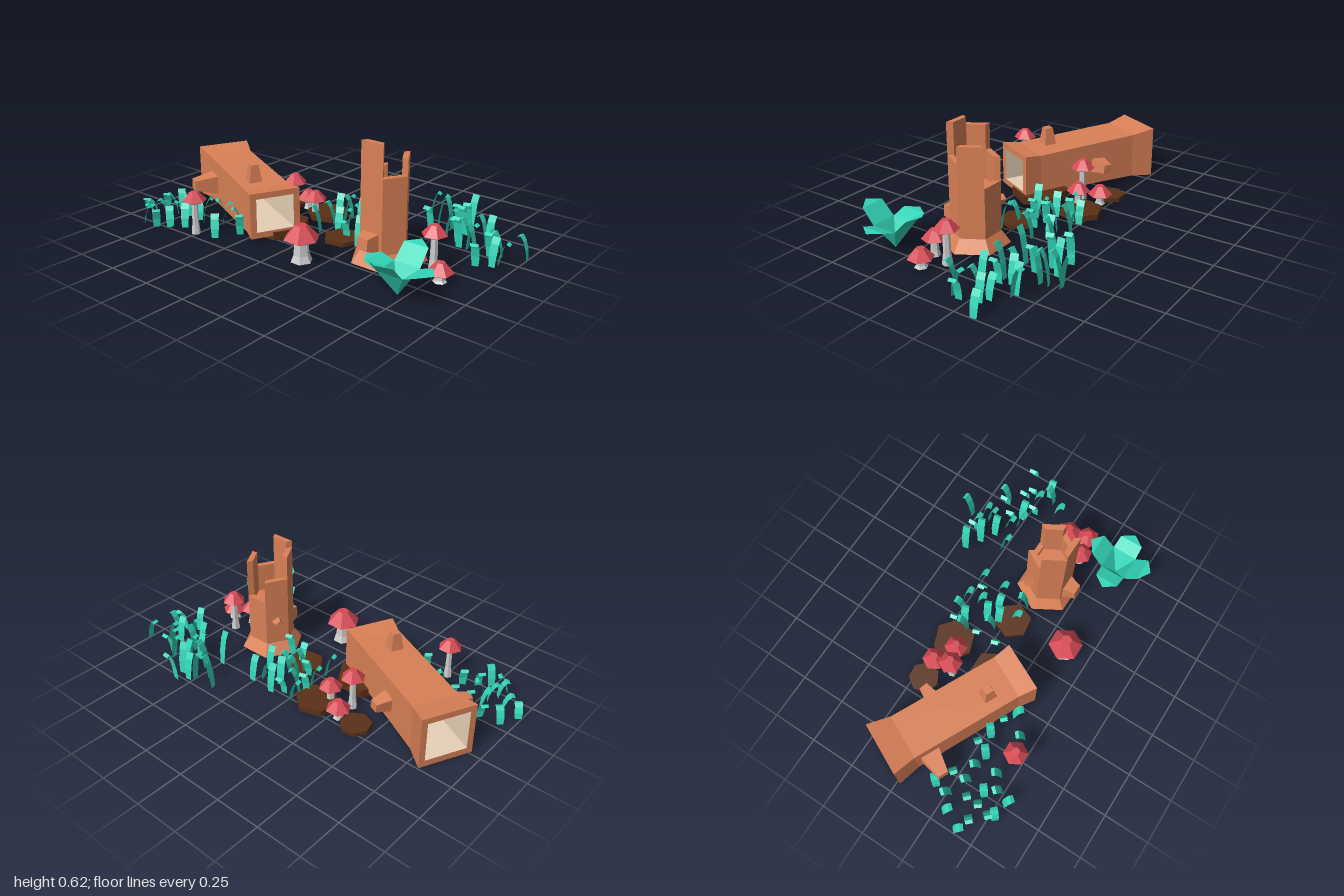
import * as THREE from 'three';

const mat = (color, side = THREE.FrontSide) =>
  new THREE.MeshStandardMaterial({ color, flatShading: true, side });
const WOOD = mat(0xd98056), INNER = mat(0xe6d0b6), DARK = mat(0x5a3018), RED = mat(0xd64a55);
const GREY = mat(0xcccccc), TEAL = mat(0x33d6b8, THREE.DoubleSide);
const V = (x, y, z) => new THREE.Vector3(x, y, z);

function add(parent, name, geometry, material, x = 0, y = 0, z = 0) {
  const m = new THREE.Mesh(geometry, material);
  m.name = name;
  m.position.set(x, y, z);
  parent.add(m);
  return m;
}

function group(parent, name, x = 0, z = 0, turn = 0) {
  const g = new THREE.Group();
  g.name = name;
  g.position.set(x, 0, z);
  g.rotation.y = turn;
  parent.add(g);
  return g;
}

// Skin between rings of equal corner count, optionally closed and capped
function loft(rings, { closed = true, capEnd = false } = {}) {
  const n = rings[0].length, index = [];
  for (let r = 0; r < rings.length - 1; r++) {
    for (let i = 0; i < (closed ? n : n - 1); i++) {
      const j = (i + 1) % n, a = r * n, b = a + n;
      index.push(a + i, a + j, b + j, a + i, b + j, b + i);
    }
  }
  const top = (rings.length - 1) * n;
  if (capEnd) for (let i = 1; i < n - 1; i++) index.push(top, top + i, top + i + 1);
  const g = new THREE.BufferGeometry().setFromPoints(rings.flat());
  g.setIndex(index);
  const flat = g.toNonIndexed();
  flat.computeVertexNormals();
  return flat;
}

// Square, tapering branch stub growing from a point along a direction
function stub(parent, name, start, dir, length, r0, r1) {
  const g = new THREE.CylinderGeometry(r1 * Math.SQRT2, r0 * Math.SQRT2, length, 4);
  g.rotateY(Math.PI / 4).translate(0, length / 2, 0);
  const m = add(parent, name, g, WOOD, start.x, start.y, start.z);
  m.quaternion.setFromUnitVectors(V(0, 1, 0), dir.normalize());
}

function buildStump(root) {
  const s = group(root, 'stump', -0.078, 0.436);
  add(s, 'stumpFlare', new THREE.CylinderGeometry(0.128, 0.174, 0.065, 6), WOOD, 0, 0.0325, 0);
  add(s, 'stumpCore', new THREE.CylinderGeometry(0.098, 0.098, 0.24, 6), WOOD, 0, 0.18, 0);
  // Broken wall: one panel of its own height per side
  [0.54, 0.33, 0.455, 0.585, 0.622, 0.455].forEach((h, k) => {
    const a = k * Math.PI / 3, b = a + Math.PI / 3;
    const ring = y => [[0.128, a], [0.128, b], [0.094, b], [0.094, a]]
      .map(([r, t]) => V(r * Math.sin(t), y, r * Math.cos(t)));
    add(s, 'stumpWall', loft([ring(0.06), ring(h)], { capEnd: true }), WOOD);
  });
  stub(s, 'stumpKnot', V(-0.1, 0.125, 0), V(-1, 0.1, 0), 0.08, 0.05, 0.03);
  stub(s, 'stumpTwig', V(0.05, 0.2, -0.085), V(0.5, 0.03, -0.87), 0.055, 0.022, 0.018);
}

function buildLog(root) {
  // Local -z runs from the near end to the far end
  const log = group(root, 'hollowLog', -0.253, -0.124, -0.453);
  const ring = (s, w, y0, y1) =>
    [V(-w, y0, -s), V(-w, y1, -s), V(w, y1, -s), V(w, y0, -s)];
  const near = ring(0, 0.102, 0.057, 0.238), far = ring(0.837, 0.114, 0.035, 0.257);
  add(log, 'logBark', loft([
    near, ring(0, 0.136, 0.025, 0.27), ring(0.1, 0.123, 0.03, 0.255),
    ring(0.71, 0.123, 0.012, 0.265), ring(0.837, 0.146, 0, 0.29), far]), WOOD);
  add(log, 'logHollow', loft([far, near]), INNER);
  stub(log, 'logTopStub', V(-0.03, 0.25, -0.23), V(0, 1, 0), 0.1, 0.036, 0.021);
  stub(log, 'logRightStub', V(0.11, 0.13, -0.47), V(1, 0, -0.12), 0.1, 0.042, 0.024);
  stub(log, 'logLeftStub', V(-0.11, 0.13, -0.63), V(-1, 0.05, 0.03), 0.14, 0.055, 0.028);
}

// Flat soil plates with pale undersides: x, z, radius, height, sides, turn
function buildPlates(root) {
  [[-0.13, -0.2, 0.157, 0.045, 6, 0], [0.2, -0.4, 0.084, 0.022, 7, 0.3],
    [0.182, -0.13, 0.117, 0.03, 6, 0.35], [-0.03, 0.14, 0.103, 0.022, 6, 0.15]]
    .forEach(([x, z, r, h, n, turn]) => {
      const g = new THREE.CylinderGeometry(r, r, h, n);
      add(root, 'soilPlate', g, [DARK, DARK, GREY], x, h / 2, z).rotation.y = turn;
    });
}

// Mushrooms: x, z, cap radius, top height, stem radius, turn
function buildMushrooms(root) {
  [[-0.455, -0.51, 0.065, 0.235, 0.018, 0], [-0.36, 0.145, 0.093, 0.19, 0.042, 0],
    [0.09, -0.29, 0.065, 0.235, 0.019, 0], [0.203, -0.29, 0.067, 0.108, 0.022, 0],
    [0.133, -0.18, 0.064, 0.147, 0.022, 0], [-0.148, 0.665, 0.065, 0.14, 0.022, 0.2],
    [-0.125, 0.79, 0.068, 0.1, 0.026, 0.45], [-0.04, 0.7, 0.066, 0.235, 0.02, 0.25]]
    .forEach(([x, z, r, top, sr, turn]) => {
      const m = group(root, 'mushroom', x, z, turn);
      const h = r * 0.75, lip = r * 0.2, under = top - h - lip;
      add(m, 'cap', new THREE.CylinderGeometry(r * 0.33, r, h, 6), RED, 0, top - h / 2, 0);
      add(m, 'capUnderside', new THREE.CylinderGeometry(r, r * 0.6, lip, 6), GREY, 0, under + lip / 2, 0);
      const stem = [[0, 0], [sr * 1.35, 0], [sr, under * 0.35], [sr * 0.85, under + 0.005]]
        .map(p => new THREE.Vector2(...p));
      add(m, 'stem', new THREE.LatheGeometry(stem, 6), GREY);
    });
}

// Broad plant of four leaves, the side pair rising higher
function buildPlant(root) {
  const plant = group(root, 'leafyPlant', -0.36, 0.715);
  for (let k = 0; k < 4; k++) {
    const lift = k % 2 ? 0.05 : 0;
    const rings = [[0, 0, 0], [0.07, 0.125, 0.07], [0.14, 0.15 + lift, 0.066], [0.185, 0.148 + lift * 1.3, 0.002]]
      .map(([d, y, w]) => [V(-w, y, d), V(w, y, d)]);
    add(plant, 'leaf', loft(rings, { closed: false }), TEAL).rotation.y = k * Math.PI / 2;
  }
}

// Bent grass blades scattered at x, z pairs, their height running from h0 to h1
function buildGrass(root) {
  let seed = 7;
  const rand = () => (seed = (seed * 16807) % 2147483647) / 2147483647;
  const patch = (name, h0, h1, turn, spots) => {
    const g = group(root, name);
    for (let i = 0; i < spots.length; i += 2) {
      const h = (h0 + (h1 - h0) * i / spots.length) * (0.85 + 0.3 * rand()), w = 0.021;
      const rings = [[-0.026, 0, 0.8], [-0.02, 0.4, 1], [-0.006, 0.78, 1], [0.012, 1, 1], [0.03, 0.93, 0.9]]
        .map(([d, y, k]) => [V(-w * k, y * h, d), V(w * k, y * h, d)]);
      const blade = add(g, 'grassBlade', loft(rings, { closed: false }), TEAL, spots[i], 0, spots[i + 1]);
      blade.rotation.y = turn + Math.floor(rand() * 4) * Math.PI / 2 + (rand() - 0.5) * 0.35;
    }
  };
  patch('backGrass', 0.09, 0.14, 0.75, [
    -0.4, -0.97, -0.42, -0.9, -0.3, -0.92, -0.49, -0.83, -0.52, -0.81, -0.42, -0.81, -0.25, -0.85,
    -0.17, -0.83, -0.35, -0.81, -0.545, -0.72, -0.47, -0.7, -0.41, -0.74, -0.3, -0.74, -0.22, -0.74,
    -0.3, -0.65, -0.42, -0.63, -0.31, -0.57, -0.24, -0.54, -0.27, -0.46, -0.42, -0.4, -0.29, -0.37,
    -0.34, -0.3]);
  patch('middleGrass', 0.13, 0.15, 0.25, [
    -0.03, -0.04, 0.09, -0.04, 0.18, -0.04, 0.24, -0.03, 0.06, 0.05, 0.2, 0.01, 0.26, 0.05,
    -0.04, 0.16, 0.04, 0.11, 0.11, 0.1, 0.17, 0.13, 0.25, 0.12, 0.08, 0.18, 0.21, 0.2,
    -0.03, 0.25, 0.11, 0.26, 0.24, 0.26]);
  patch('frontGrass', 0.19, 0.12, 0.1, [
    0.45, 0.4, 0.24, 0.49, 0.4, 0.48, 0.45, 0.48, 0.35, 0.56, 0.46, 0.53, 0.55, 0.58, 0.29, 0.62,
    0.4, 0.6, 0.44, 0.6, 0.24, 0.66, 0.32, 0.66, 0.27, 0.73, 0.22, 0.75, 0.39, 0.72, 0.41, 0.76,
    0.1, 0.84, 0.24, 0.84, 0.32, 0.82, 0.29, 0.86, 0.19, 0.9, 0.21, 0.94, 0.35, 0.97]);
}

export function createModel() {
  const root = new THREE.Group();
  root.name = 'forestFloor';
  buildStump(root);
  buildLog(root);
  buildPlates(root);
  buildMushrooms(root);
  buildPlant(root);
  buildGrass(root);
  return root;
}
